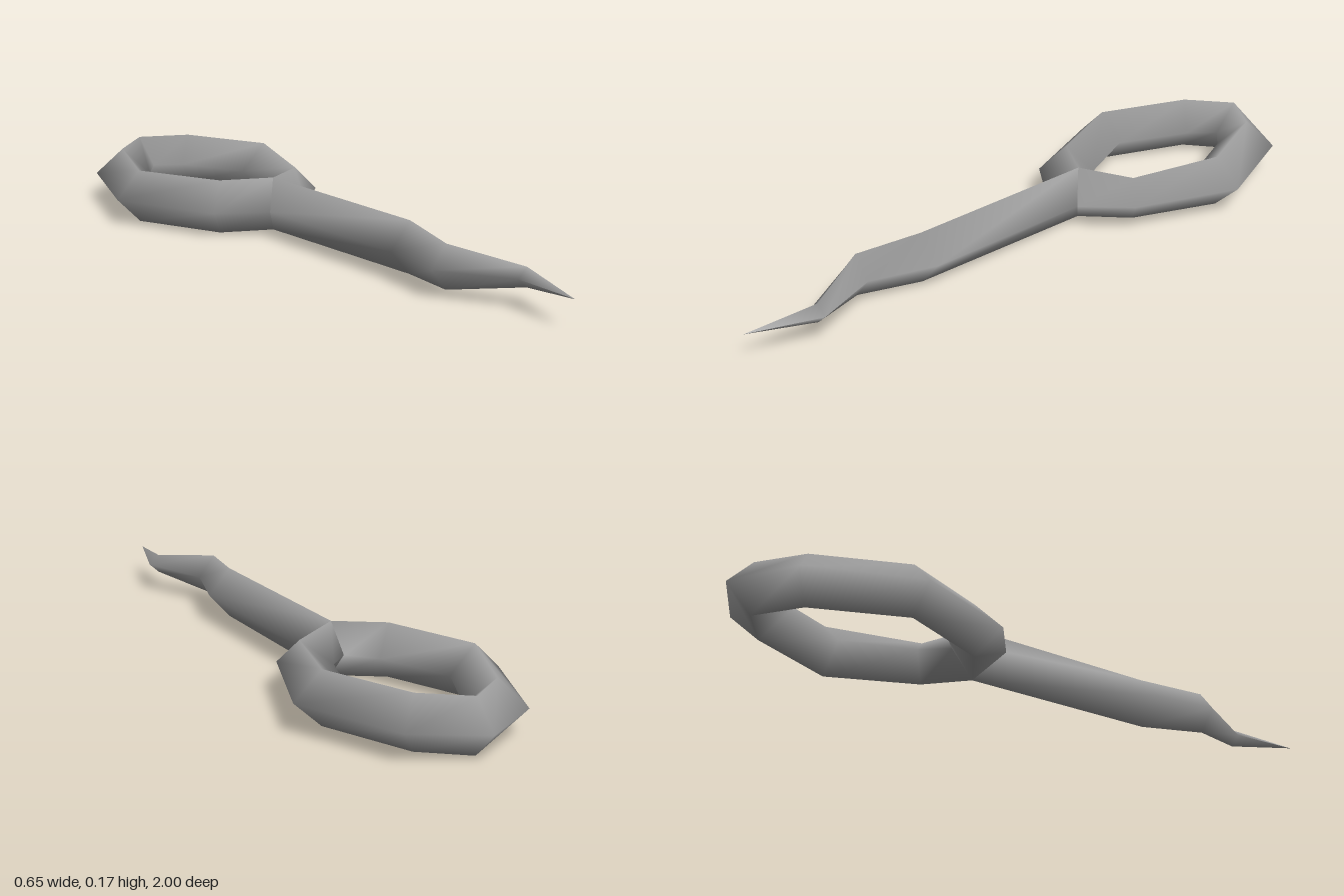
import * as THREE from 'three';

// Lofts four-cornered sections [side a, top, side b, bottom] into a smooth tube
function loft(sections) {
  const index = [];
  for (let i = 0; i < sections.length - 1; i++) {
    for (let j = 0; j < 4; j++) {
      const p0 = i * 4 + j, p1 = i * 4 + (j + 1) % 4;
      index.push(p0, p1, p0 + 4, p1, p1 + 4, p0 + 4);
    }
  }
  const geometry = new THREE.BufferGeometry();
  geometry.setAttribute('position', new THREE.Float32BufferAttribute(sections.flat(2), 3));
  geometry.setIndex(index);
  geometry.computeVertexNormals();
  return geometry;
}

// Section from its two side points and the top and bottom heights
function section([ax, az], [bx, bz], top, bottom, mid = [(ax + bx) / 2, (az + bz) / 2]) {
  const y = (top + bottom) / 2;
  return [[ax, y, az], [mid[0], top, mid[1]], [bx, y, bz], [mid[0], bottom, mid[1]]];
}

export function createModel() {
  const group = new THREE.Group();
  const metal = new THREE.MeshStandardMaterial({ name: 'grey metal', color: 0xa0a0a0 });
  const fork = [0, -0.22];

  // Oval handle: inner and outer points, from the fork round the left side and back
  const ring = new THREE.Mesh(loft([
    section([0, -0.29], [0.068, -0.15], 0.166, 0.004, fork),
    section([0.075, -0.36], [0.2, -0.26], 0.158, 0.026, [0.15, -0.3]),
    section([0.155, -0.57], [0.327, -0.57], 0.172, 0.014),
    section([0.065, -0.775], [0.195, -0.89], 0.17, 0.011),
    section([0, -0.845], [0, -1], 0.166, 0.005),
    section([-0.065, -0.775], [-0.195, -0.885], 0.163, 0.003),
    section([-0.165, -0.57], [-0.327, -0.57], 0.16, 0),
    section([-0.075, -0.36], [-0.2, -0.25], 0.163, 0.001),
    section([0, -0.29], [-0.068, -0.15], 0.166, 0.004, fork),
  ]), metal);
  ring.name = 'ringHandle';

  // Straight shaft that bends twice and tapers to a point
  const shaft = new THREE.Mesh(loft([
    section([0.068, -0.15], [-0.068, -0.15], 0.166, 0.004, fork),
    section([0.066, 0.39], [-0.075, 0.39], 0.165, 0.01),
    section([0, 0.585], [-0.105, 0.585], 0.151, 0.022),
    section([0.075, 0.79], [0.012, 0.79], 0.116, 0.059),
    section([0, 1], [0, 1], 0.088, 0.088),
  ]), metal);
  shaft.name = 'bentShaft';

  group.add(ring, shaft);
  return group;
}
